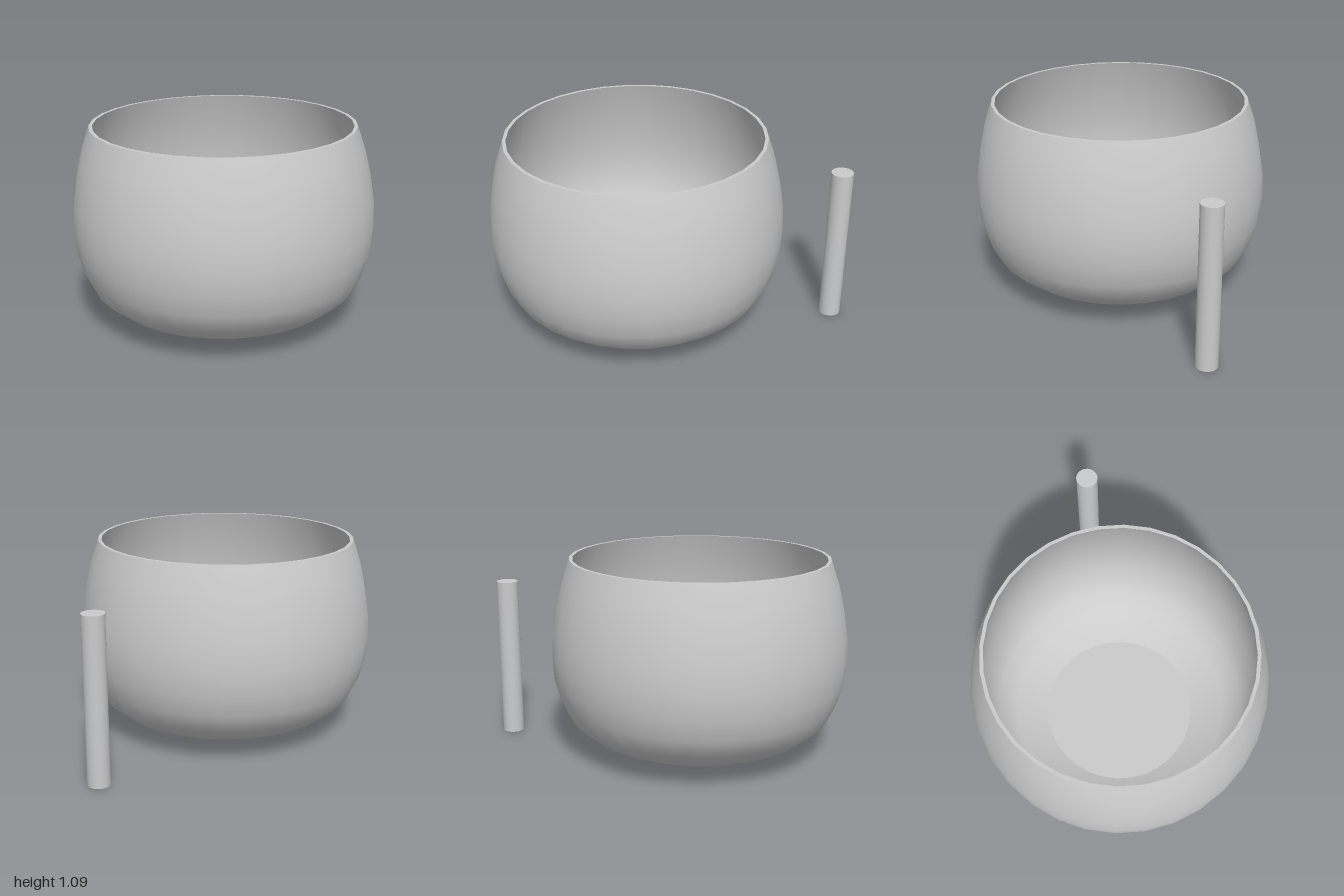
import * as THREE from 'three';

export function createModel() {
  const group = new THREE.Group();
  const material = new THREE.MeshStandardMaterial({ color: 0xcccccc });

  // Half-profiles as [radius, height]
  const outer = [
    [0.49, 0.055], [0.625, 0.117], [0.726, 0.2], [0.778, 0.305], [0.81, 0.425],
    [0.82, 0.55], [0.813, 0.68], [0.79, 0.82], [0.757, 0.96], [0.714, 1.085],
  ];
  const inner = [
    [0.43, 0.075], [0.61, 0.137], [0.708, 0.215], [0.758, 0.315], [0.79, 0.43],
    [0.8, 0.55], [0.793, 0.68], [0.77, 0.82], [0.737, 0.96], [0.695, 1.085],
  ];

  // Each bowl surface is its own lathe, so base and rim edges stay sharp
  const bowl = new THREE.Group();
  bowl.name = 'bowl';
  bowl.position.x = -0.18;
  const surfaces = {
    bowlBase: [[0, 0.055], outer[0]],
    bowlOuterWall: outer,
    bowlRim: [outer[outer.length - 1], inner[inner.length - 1]],
    bowlInnerWall: [...inner].reverse(),
    bowlFloor: [inner[0], [0, 0.075]],
  };
  for (const [name, profile] of Object.entries(surfaces)) {
    const points = profile.map(([r, y]) => new THREE.Vector2(r, y));
    const mesh = new THREE.Mesh(new THREE.LatheGeometry(points, 32), material);
    mesh.name = name;
    bowl.add(mesh);
  }
  group.add(bowl);

  // Separate upright rod beside the bowl
  const rod = new THREE.Mesh(new THREE.CylinderGeometry(0.06, 0.06, 0.9, 32), material);
  rod.name = 'rod';
  rod.position.set(0.94, 0.45, 0);
  group.add(rod);

  return group;
}
